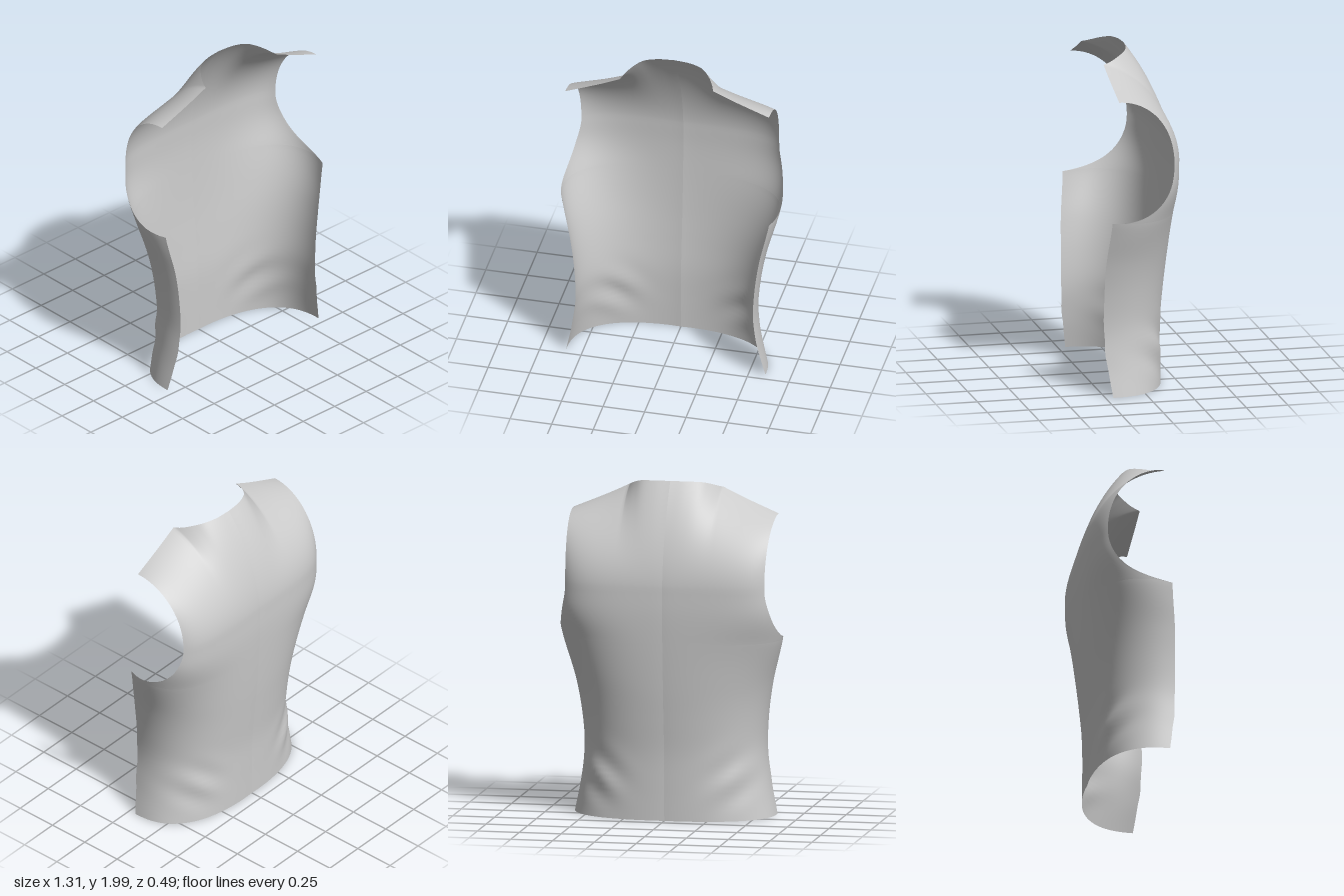
import * as THREE from 'three';

const COLS = 40;       // centre back to side edge
const NECK_COLS = 18;  // columns that end on the neckline
const V = (x, y, z) => new THREE.Vector3(x, y, z);

// Body sections by height: half width, side edge z, centre back z, squareness
const heights = [0.01, 0.2, 0.4, 0.6, 0.8, 1.07, 1.25, 1.4];
const sections = new THREE.CubicInterpolant(heights, new Float32Array([
  0.600, 0.205, -0.182, 2.5,
  0.568, 0.232, -0.183, 2.5,
  0.550, 0.246, -0.187, 2.5,
  0.565, 0.245, -0.204, 2.5,
  0.600, 0.240, -0.222, 2.6,
  0.670, 0.215, -0.240, 3.0,
  0.684, 0.215, -0.247, 4.0,
  0.669, 0.215, -0.245, 4.6,
]), 4);

// Height of the uncut shoulder line at z = 0.187, before the neck is cut out
const shoulderLine = new THREE.CubicInterpolant(
  [0, 0.1, 0.18, 0.23, 0.28],
  new Float32Array([2.09, 2.083, 2.045, 2.0, 1.945]), 1);

// Soft diagonal folds above the hem, and a slight pinch along the centre seam
function fold(p) {
  const fade = Math.exp(-(((p.y - 0.25) / 0.14) ** 2) - (((p.x - 0.4) / 0.14) ** 2));
  p.z += 0.011 * fade * Math.sin(25 * (p.y - 0.8 * p.x)) + 0.004 * Math.exp(-p.x / 0.05);
  return p;
}

// Half cross-section at height y, running round the back and cut off at zCut
function bodyRow(y, zCut) {
  const [w, zEdge, zBack, n] = sections.evaluate(y);
  const cut = Math.max(0, (zEdge - zCut) / (zEdge - zBack));
  const end = Math.acos(Math.min(1, cut ** (n / 2)));
  const pts = [];
  for (let i = 0; i <= 60; i++) {
    const a = end * i / 60;
    const forward = 1 - Math.max(0, Math.cos(a)) ** (2 / n);
    const tuck = 1 - 0.07 * forward ** 4 * Math.min(1, y);
    pts.push(V(w * Math.sin(a) ** (2 / n) * tuck, y, zBack + (zEdge - zBack) * forward));
  }
  return new THREE.CatmullRomCurve3(pts).getSpacedPoints(COLS).map(fold);
}

// Upper back column: bends forward from a to the shoulder line, trimmed at p
function upperColumn(a, p, s) {
  const yEnd = s * COLS < NECK_COLS ? shoulderLine.evaluate(p.x)[0] : p.y;
  const curve = new THREE.CubicBezierCurve3(a,
    V(a.x, a.y + 0.25, a.z + 0.014 * (1 - s ** 4)),
    V(p.x, yEnd - 0.07 * (1 - s * s), -0.06 * (1 - s)),
    V(p.x, yEnd, Math.max(p.z, s * COLS < NECK_COLS ? 0.187 : p.z)));
  let lo = 0, hi = 1;
  for (let i = 0; i < 30; i++) {
    const mid = (lo + hi) / 2;
    if (curve.getPoint(mid).z < p.z) lo = mid; else hi = mid;
  }
  const miss = p.clone().sub(curve.getPoint(hi));
  return (t) => curve.getPoint(t * hi).addScaledVector(miss, t ** 3);
}

function buildRows() {
  const rows = [];
  // Hem to underarm
  for (let i = 0; i < 32; i++) rows.push(bodyRow(0.01 + 1.06 * i / 32, Infinity));

  // Lower half of the armhole
  const armhole = new THREE.CubicBezierCurve3(
    V(0, 1.07, 0.215), V(0, 1.07, -0.03), V(0, 1.2, -0.165), V(0, 1.4, -0.165));
  for (let i = 0; i <= 20; i++) {
    const p = armhole.getPoint(i / 20);
    rows.push(bodyRow(p.y, p.z));
  }

  // Top boundary: neckline, then shoulder seam
  const neck = new THREE.CatmullRomCurve3([
    V(0, 2, 0), V(0.1, 1.998, 0.01), V(0.18, 1.992, 0.04),
    V(0.23, 1.975, 0.09), V(0.262, 1.957, 0.14), V(0.28, 1.945, 0.187)]);
  const shoulder = new THREE.CatmullRomCurve3([
    V(0.28, 1.945, 0.187), V(0.4, 1.889, 0.182), V(0.613, 1.8, 0.173)]);
  const top = [...neck.getSpacedPoints(NECK_COLS),
    ...shoulder.getSpacedPoints(COLS - NECK_COLS).slice(1)];

  // Upper back and shoulders
  const base = rows[rows.length - 1];
  const columns = top.map((p, j) => upperColumn(base[j], p, j / COLS));
  for (let i = 1; i <= 28; i++) rows.push(columns.map((column) => column(i / 28)));
  return rows;
}

// Skin the rows into one half of the panel; side = 1 for left, -1 for right
function halfGeometry(rows, side) {
  const pos = [], index = [];
  const n = COLS + 1;
  for (const row of rows) for (const p of row) pos.push(side * p.x, p.y, p.z);
  for (let i = 0; i < rows.length - 1; i++) {
    for (let j = 0; j < COLS; j++) {
      const a = i * n + j, b = a + 1, c = a + n, d = c + 1;
      if (side > 0) index.push(a, c, b, b, c, d);
      else index.push(a, b, c, b, d, c);
    }
  }
  const g = new THREE.BufferGeometry();
  g.setAttribute('position', new THREE.Float32BufferAttribute(pos, 3));
  g.setIndex(index);
  g.computeVertexNormals();
  return g;
}

export function createModel() {
  const group = new THREE.Group();
  group.name = 'vestBack';
  const cloth = new THREE.MeshStandardMaterial({ color: 0xcccccc, side: THREE.DoubleSide });
  const rows = buildRows();
  // Two panels meeting at the centre back seam
  for (const [name, side] of [['leftBackPanel', 1], ['rightBackPanel', -1]]) {
    const mesh = new THREE.Mesh(halfGeometry(rows, side), cloth);
    mesh.name = name;
    group.add(mesh);
  }
  return group;
}
